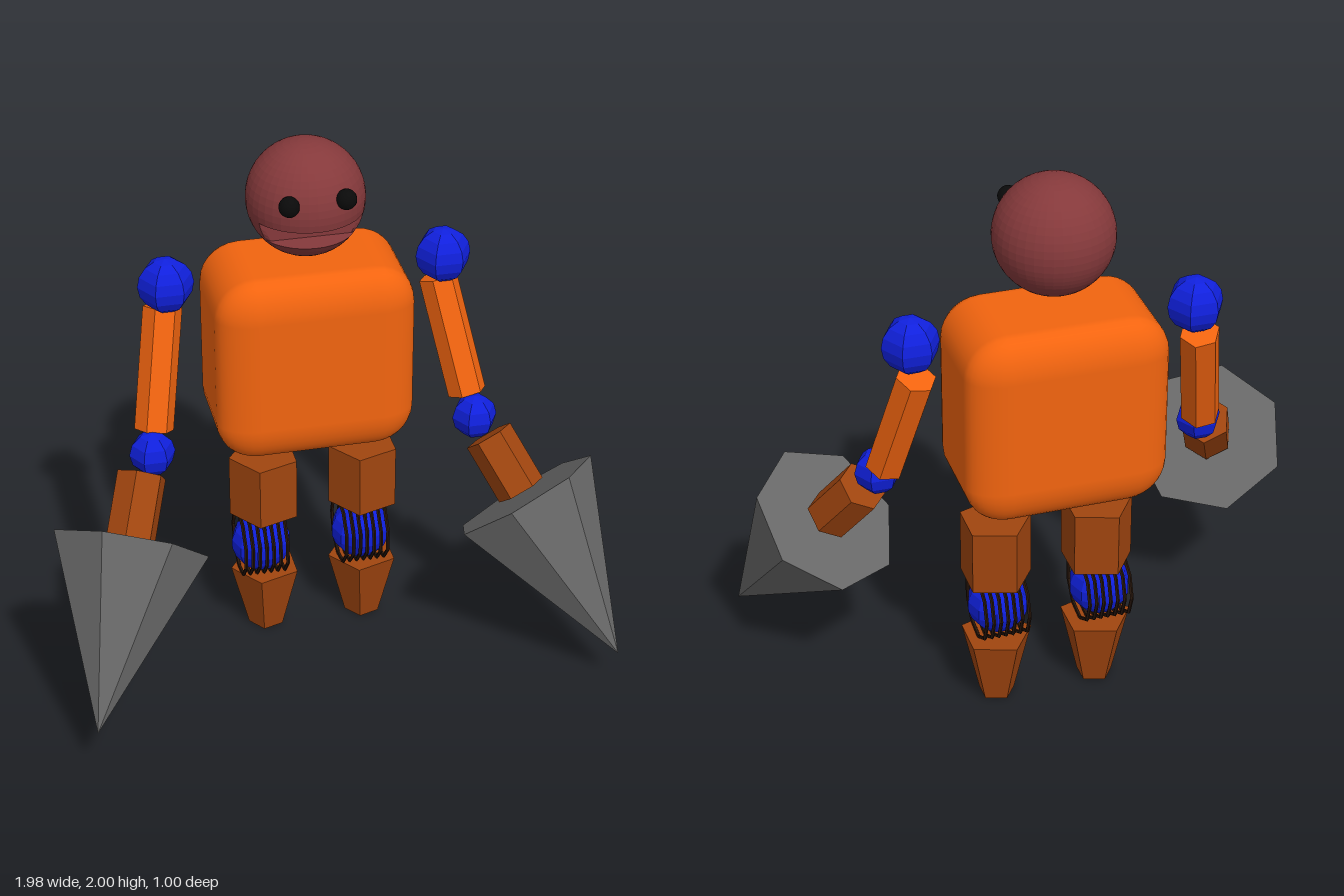
import * as THREE from 'three';
import { RoundedBoxGeometry } from 'three/addons/geometries/RoundedBoxGeometry.js';

const mat = (color, opts = {}) => new THREE.MeshStandardMaterial({ color, flatShading: true, ...opts });
const ORANGE = mat(0xf2640f);
const TORSO = mat(0xf2640f, { flatShading: false });
const BROWN = mat(0xa0450f);
const BLUE = mat(0x1020dd);
const HEAD = mat(0x85393b, { side: THREE.DoubleSide });
const BLACK = mat(0x0a0a0a, { flatShading: false });
const GREY = mat(0x686868);
const WIRE = mat(0x26150a);

const V = (p) => new THREE.Vector3(...p);

function add(parent, name, geometry, material, pos = [0, 0, 0]) {
  const mesh = new THREE.Mesh(geometry, material);
  mesh.name = name;
  mesh.position.set(...pos);
  parent.add(mesh);
  return mesh;
}

// Lays a mesh with its y axis from a to b, its first corner turned towards hint
function aim(mesh, a, b, hint) {
  const y = b.clone().sub(a).normalize();
  const x = y.clone().cross(hint).normalize();
  const z = x.clone().cross(y);
  mesh.quaternion.setFromRotationMatrix(new THREE.Matrix4().makeBasis(x, y, z));
  mesh.position.copy(a).lerp(b, 0.5);
}

// Ball with a flat-backed mouth cut into the front
function headGeometry() {
  const R = 0.207, low = -0.115, high = -0.04, back = 0.09, gap = 0.002;
  const ys = [];
  const arc = (from, to, n) => {
    const a = Math.asin(from / R), b = Math.asin(to / R);
    for (let i = 0; i <= n; i++) ys.push(R * Math.sin(a + ((b - a) * i) / n));
  };
  arc(-R, low, 8);
  arc(low + gap, high - gap, 4);
  arc(high, R, 14);
  const points = ys.map((y) => new THREE.Vector2(Math.sqrt(Math.max(0, R * R - y * y)), y));
  const geo = new THREE.LatheGeometry(points, 40);
  const p = geo.attributes.position;
  for (let i = 0; i < p.count; i++) {
    const y = p.getY(i);
    if (y > low + gap / 2 && y < high - gap / 2) p.setZ(i, Math.min(p.getZ(i), back));
  }
  geo.computeVertexNormals();
  return geo;
}

function buildArm(side, d) {
  const arm = new THREE.Group();
  arm.name = side + 'Arm';
  add(arm, 'shoulder', new THREE.SphereGeometry(0.1, 6, 8), BLUE, d.shoulder);

  const upper = add(arm, 'upperArm', new THREE.CylinderGeometry(0.07, 0.07, V(d.top).distanceTo(V(d.bottom)), 6), ORANGE);
  aim(upper, V(d.bottom), V(d.top), new THREE.Vector3(1, 0, 0));

  add(arm, 'elbow', new THREE.SphereGeometry(0.082, 6, 6), BLUE, d.elbow);

  // Forearm runs along the spike's axis and stops just short of its base
  const base = V(d.base), tip = V(d.tip);
  const dir = tip.clone().sub(base).normalize();
  const start = base.clone().addScaledVector(dir, -0.25);
  const end = base.clone().addScaledVector(dir, -0.02);
  const forearm = add(arm, 'forearm', new THREE.CylinderGeometry(0.09, 0.09, 0.23, 6), BROWN);
  aim(forearm, start, end, V(d.corner));

  const spike = add(arm, 'spikeHand', new THREE.ConeGeometry(0.28, base.distanceTo(tip), 7), GREY);
  aim(spike, base, tip, V(d.corner));
  return arm;
}

function buildLeg(side, x, kneeX) {
  const leg = new THREE.Group();
  leg.name = side + 'Leg';
  const prism = (rTop, rBottom, h) => new THREE.CylinderGeometry(rTop, rBottom, h, 5, 1, false, -Math.PI / 2);
  add(leg, 'thigh', prism(0.13, 0.13, 0.24), BROWN, [x, 0.62, -0.28]);
  add(leg, 'foot', prism(0.13, 0.066, 0.255), BROWN, [x, 0.1275, -0.28]);
  add(leg, 'knee', new THREE.SphereGeometry(0.11, 10, 9), BLUE, [kneeX, 0.375, -0.262]);
  // Row of wire rings around the knee
  for (let i = 0; i < 7; i++) {
    const ring = add(leg, 'kneeRing', new THREE.TorusGeometry(0.124, 0.007, 5, 9), WIRE,
      [kneeX + (i - 3) * 0.026, 0.378, -0.268]);
    ring.rotation.y = Math.PI / 2;
  }
  return leg;
}

export function createModel() {
  const model = new THREE.Group();
  model.name = 'robot';

  const torso = add(model, 'torso', new RoundedBoxGeometry(0.71, 0.71, 0.71, 4, 0.145), TORSO, [-0.02, 1.19, -0.278]);
  torso.scale.z = 0.64;

  add(model, 'head', headGeometry(), HEAD, [-0.03, 1.793, -0.237]);
  add(model, 'rightEye', new THREE.SphereGeometry(0.036, 16, 12), BLACK, [-0.126, 1.85, -0.055]);
  add(model, 'leftEye', new THREE.SphereGeometry(0.036, 16, 12), BLACK, [0.071, 1.857, -0.055]);

  model.add(buildArm('right', {
    shoulder: [-0.515, 1.478, -0.29],
    top: [-0.525, 1.378, -0.315], bottom: [-0.593, 0.965, -0.18],
    elbow: [-0.612, 0.91, -0.115],
    base: [-0.735, 0.675, 0.09], tip: [-0.932, 0.19, 0.495], corner: [-0.265, 0.1, 0],
  }));
  model.add(buildArm('left', {
    shoulder: [0.475, 1.485, -0.28],
    top: [0.468, 1.378, -0.315], bottom: [0.55, 0.965, -0.18],
    elbow: [0.56, 0.905, -0.11],
    base: [0.71, 0.64, 0.045], tip: [0.988, 0.125, 0.383], corner: [0.247, 0.132, 0],
  }));

  model.add(buildLeg('right', -0.18, -0.2));
  model.add(buildLeg('left', 0.19, 0.178));
  return model;
}
